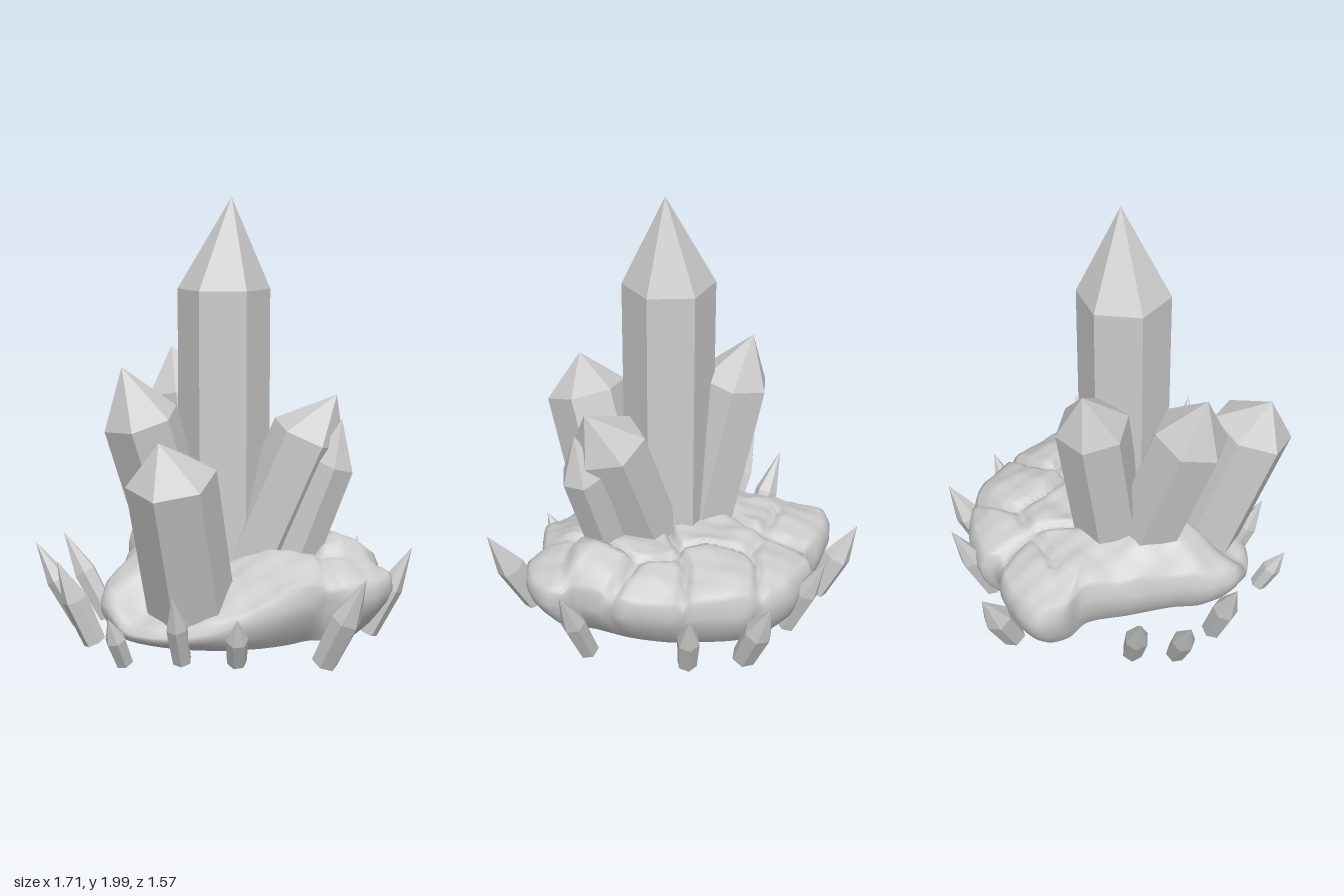
import * as THREE from 'three';

const { smoothstep, lerp } = THREE.MathUtils;
const stone = new THREE.MeshStandardMaterial({ color: 0xcccccc });
stone.name = 'grey stone';

// Hexagonal prism from base to shoulder, closed by a point at tip
function crystal(name, base, shoulder, tip, radius, phase, taper = 1) {
  const a = new THREE.Vector3(...base);
  const axis = new THREE.Vector3(...shoulder).sub(a);
  const turn = new THREE.Quaternion().setFromUnitVectors(
    new THREE.Vector3(0, 1, 0), axis.clone().normalize());
  const apex = new THREE.Vector3(...tip).sub(a).applyQuaternion(turn.clone().invert());
  const profile = [[0, 0], [radius * taper, 0], [radius, axis.length()], [0, apex.y]]
    .map(([r, y]) => new THREE.Vector2(r, y));
  const lathe = new THREE.LatheGeometry(profile, 6, THREE.MathUtils.degToRad(90 - phase));
  for (let i = 0; i <= 6; i++) lathe.attributes.position.setXYZ(i * 4 + 3, apex.x, apex.y, apex.z);
  const geo = lathe.toNonIndexed();
  geo.computeVertexNormals();
  const mesh = new THREE.Mesh(geo, stone);
  mesh.name = name;
  mesh.position.copy(a);
  mesh.quaternion.copy(turn);
  return mesh;
}

// Rock footprint seen from above (x, z)
const outline = [
  [-0.2, -0.68], [-0.02, -0.67], [0.14, -0.65], [0.35, -0.57], [0.47, -0.49], [0.56, -0.43],
  [0.65, -0.42], [0.72, -0.3], [0.7, -0.13], [0.62, -0.03], [0.59, 0.1], [0.53, 0.24],
  [0.43, 0.38], [0.3, 0.52], [0.12, 0.63], [-0.05, 0.66], [-0.18, 0.59], [-0.27, 0.46],
  [-0.43, 0.28], [-0.58, 0.11], [-0.71, 0.08], [-0.79, 0], [-0.78, -0.1], [-0.7, -0.24],
  [-0.57, -0.36], [-0.59, -0.42], [-0.53, -0.5], [-0.42, -0.6], [-0.31, -0.66],
];
// Boulder centres (x, z) and how far each one stands up
const boulders = [
  [-0.1, -0.5, 0.01], [0.2, -0.5, 0], [-0.45, -0.45, -0.01], [-0.2, -0.2, 0], [0.4, -0.35, 0.02],
  [0.6, -0.22, -0.01], [0.2, -0.2, 0], [-0.62, -0.1, -0.01], [-0.4, 0.0, 0], [0.45, 0.0, 0],
];

// Cracks run where two boulders are equally near, and fade out towards the front
function boulderAt(x, z) {
  const wx = x + 0.03 * Math.sin(z * 13 + 1), wz = z + 0.03 * Math.sin(x * 11);
  const near = boulders.map(([bx, bz, h]) => [Math.hypot(wx - bx, wz - bz), h])
    .sort((p, q) => p[0] - q[0]);
  const solid = smoothstep(near[1][0] - near[0][0], 0, 0.06);
  return { crack: (1 - solid) * smoothstep(-z, -0.25, 0.05), lift: near[0][1] * solid };
}

const bump = (x, z, cx, cz, r) => Math.exp(-((x - cx) ** 2 + (z - cz) ** 2) / (r * r));
// 0 on the high left shoulder of the front, 1 on its low right apron
const apron = (x) => smoothstep(x, -0.06, 0.1);

function topHeight(x, z) {
  const front = lerp(0.1 * smoothstep(z, 0.35, 0.65), 0.4 * Math.max(z, 0), apron(x));
  return 0.46 - front - 0.02 * smoothstep(-x, 0.3, 0.7)
    + 0.05 * bump(x, z, 0.4, -0.33, 0.2) + 0.045 * bump(x, z, -0.14, 0.28, 0.18);
}

function rimHeight(x, z) {
  return 0.35 - smoothstep(z, 0.05, 0.6) * lerp(0.05, 0.17, apron(x));
}

// Rows of [scale, height 0..1 of rim], or [scale, null] for the top surface
function rockSurface(name, rows) {
  const N = 160, cz = -0.05, pos = [], idx = [];
  const curve = new THREE.CatmullRomCurve3(
    outline.map(([x, z]) => new THREE.Vector3(x, 0, z)), true);
  const ring = curve.getSpacedPoints(N);
  rows.forEach(([s, level], j) => {
    for (let i = 0; i < N; i++) {
      const ox = ring[i].x, oz = ring[i].z - cz;
      // the back right corner is undercut
      const undercut = Math.max(0, (ox - oz) / Math.hypot(ox, oz) / Math.SQRT2);
      const scale = level === null ? s : s * (1 - 0.12 * undercut * (1 - level));
      let x = ox * scale, z = cz + oz * scale, y = 0.1;
      if (level !== 0) {
        const rim = rimHeight(ring[i].x, ring[i].z);
        const { crack, lift } = boulderAt(x, z);
        const wave = 0.01 * Math.sin(x * 17 + z * 9) * Math.sin(z * 15 - x * 6)
          + 0.005 * Math.sin(x * 37 - z * 21) * Math.sin(z * 33 + x * 12);
        if (level !== null) {
          y = lerp(0.1, rim, level);
          const pinch = 1 - 0.045 * crack * level + wave * level;
          x *= pinch;
          z = cz + (z - cz) * pinch;
        } else {
          y = lerp(topHeight(x, z), rim, s ** 5) + lift - 0.035 * crack + wave;
        }
      }
      pos.push(x, y, z);
      if (j < rows.length - 1) {
        const a = j * N + i, c = j * N + (i + 1) % N;
        idx.push(a, a + N, c, c, a + N, c + N);
      }
    }
  });
  const geo = new THREE.BufferGeometry();
  geo.setAttribute('position', new THREE.Float32BufferAttribute(pos, 3));
  geo.setIndex(idx);
  geo.computeVertexNormals();
  const mesh = new THREE.Mesh(geo, stone);
  mesh.name = name;
  return mesh;
}

export function createModel() {
  const model = new THREE.Group();
  model.name = 'crystalCluster';

  // Rock base: flat underside, bulging wall, lumpy top
  const wall = [[0.88, 0], [0.93, 0.18], [0.965, 0.38], [0.99, 0.6], [0.99, 0.8]];
  const top = [];
  for (let k = 0; k <= 32; k++) top.push([0.965 * (1 - k / 32), null]);
  model.add(rockSurface('rockBase', [...wall, ...top]));
  model.add(rockSurface('rockUnderside', [[0, 0], [0.88, 0]]));

  // Large crystals: base, shoulder centre, tip, radius, phase
  const large = [
    ['mainCrystal', [-0.012, 0.25, 0.028], [-0.012, 1.6, 0.026], [0.01, 2, 0], 0.205, 10],
    ['leftCrystal', [-0.16, 0.35, 0.04], [-0.315, 1.1, 0.03], [-0.4, 1.31, 0.03], 0.165, 47],
    ['frontLeftCrystal', [-0.105, 0.3, 0.16], [-0.115, 1.045, 0.41], [-0.14, 1.275, 0.49], 0.17, 50],
    ['frontRightCrystal', [0.165, 0.2, 0.34], [0.283, 0.86, 0.54], [0.3, 1.02, 0.615], 0.192, 0],
    ['backRightCrystal', [0.1, 0.35, -0.04], [0.31, 0.97, -0.2], [0.42, 1.15, -0.26], 0.168, 20],
    ['rightCrystal', [0.27, 0.3, -0.11], [0.43, 0.85, -0.235], [0.465, 1.05, -0.25], 0.1, 40],
  ];
  for (const c of large) model.add(crystal(...c));

  // Small crystals leaning out around the rim: base, tip, radius
  const small = [
    [[0.64, 0.05, 0], [0.85, 0.455, -0.035], 0.066],
    [[-0.68, 0.04, -0.2], [-0.855, 0.4, -0.24], 0.065],
    [[-0.51, 0.03, 0.33], [-0.69, 0.43, 0.46], 0.055],
    [[-0.45, 0.06, 0.52], [-0.61, 0.43, 0.66], 0.052],
    [[-0.22, 0.04, 0.6], [-0.3, 0.42, 0.74], 0.058],
    [[0.13, 0.06, 0.68], [0.165, 0.28, 0.785], 0.045],
    [[0.27, 0.06, 0.48], [0.35, 0.38, 0.59], 0.048],
    [[0.43, 0.06, 0.31], [0.52, 0.28, 0.38], 0.048],
    [[0.46, 0.05, -0.43], [0.6, 0.45, -0.565], 0.055],
    [[0.05, 0.05, -0.62], [0.07, 0.37, -0.745], 0.052],
    [[-0.21, 0.04, -0.62], [-0.28, 0.41, -0.785], 0.064],
    [[-0.46, 0.05, -0.44], [-0.59, 0.46, -0.565], 0.055],
  ];
  const rim = new THREE.Group();
  rim.name = 'rimCrystals';
  small.forEach(([base, tip, r], i) => {
    const shoulder = base.map((v, k) => lerp(v, tip[k], 0.53));
    rim.add(crystal('smallCrystal' + (i + 1), base, shoulder, tip, r, i * 17, 0.88));
  });
  model.add(rim);
  return model;
}
